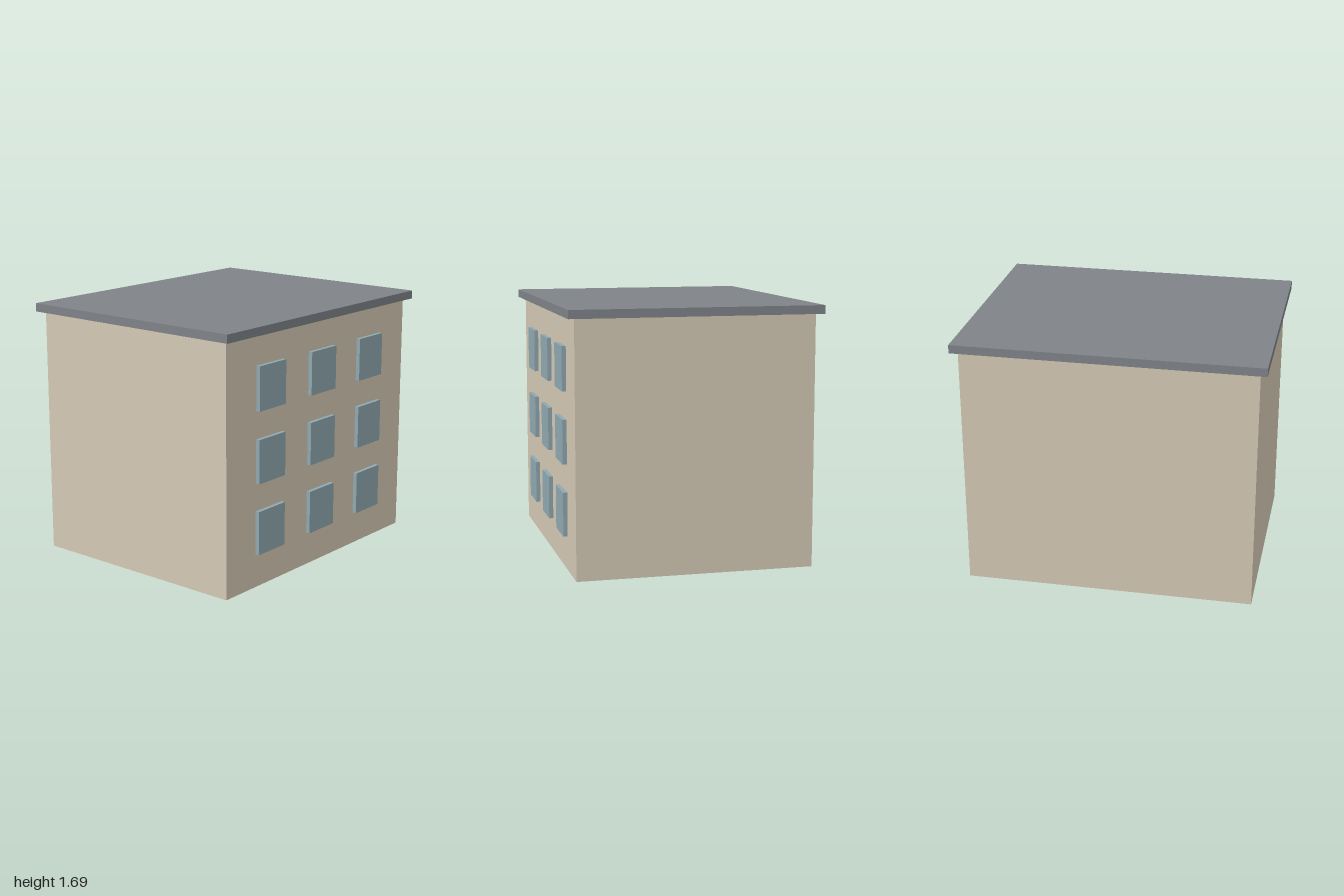
import * as THREE from 'three';

export function createModel() {
  const model = new THREE.Group();
  model.name = 'building';

  const wallMaterial = new THREE.MeshStandardMaterial({ color: 0xd4c9b5 });
  const roofMaterial = new THREE.MeshStandardMaterial({ color: 0x7f8388 });
  const glassMaterial = new THREE.MeshStandardMaterial({ color: 0x8fa8b0 });

  function addBox(name, size, position, material, parent = model) {
    const mesh = new THREE.Mesh(new THREE.BoxGeometry(...size), material);
    mesh.name = name;
    mesh.position.set(...position);
    parent.add(mesh);
  }

  const wallHeight = 1.636, wallDepth = 1.545, roofThickness = 0.055;

  // Main block and overhanging flat roof
  addBox('walls', [1.91, wallHeight, wallDepth], [0, wallHeight / 2, 0], wallMaterial);
  addBox('roofSlab', [2, roofThickness, 1.635], [0, wallHeight + roofThickness / 2, 0], roofMaterial);

  // Three by three windows, half sunk into the front wall
  const windows = new THREE.Group();
  windows.name = 'windows';
  model.add(windows);
  for (let row = 0; row < 3; row++) {
    for (let column = -1; column <= 1; column++) {
      addBox('window', [0.264, 0.286, 0.055],
        [column * 0.535, 0.364 + row * 0.467, wallDepth / 2], glassMaterial, windows);
    }
  }

  return model;
}
